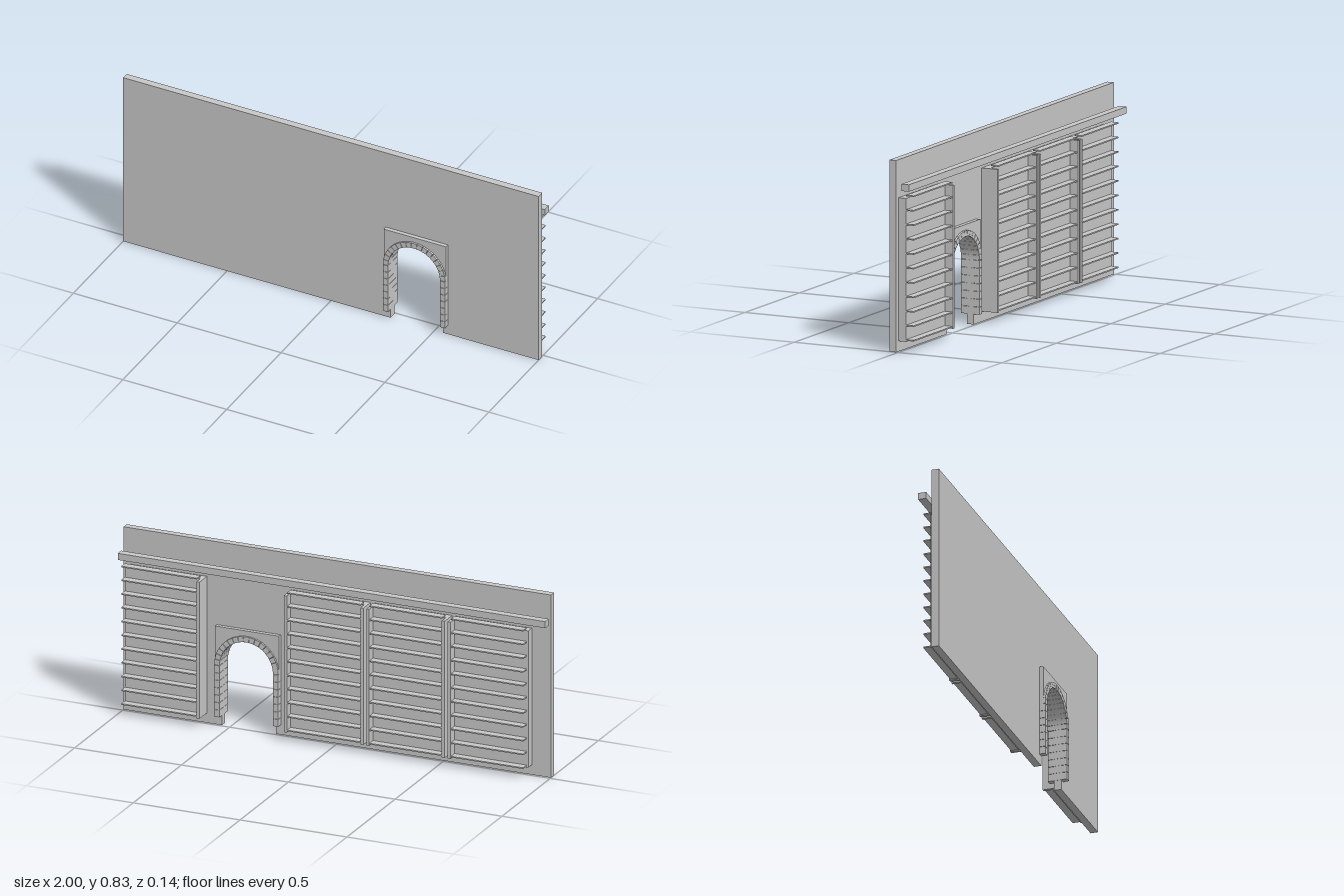
import * as THREE from 'three';

const stone = new THREE.MeshStandardMaterial({ color: 0xc8c8c8 });
stone.name = 'pale grey';

const DOOR_X = 0.414, SPRING = 0.281, R_IN = 0.125, R_OUT = 0.15;

function add(parent, name, geometry) {
  const mesh = new THREE.Mesh(geometry, stone);
  mesh.name = name;
  parent.add(mesh);
  return mesh;
}

// Box given by its limits on each axis
function box(parent, name, x0, x1, y0, y1, z0, z1) {
  const mesh = add(parent, name, new THREE.BoxGeometry(x1 - x0, y1 - y0, z1 - z0));
  mesh.position.set((x0 + x1) / 2, (y0 + y1) / 2, (z0 + z1) / 2);
  return mesh;
}

function slab(parent, name, shape, z0, z1) {
  const geometry = new THREE.ExtrudeGeometry(shape, { depth: z1 - z0, bevelEnabled: false, curveSegments: 32 });
  geometry.translate(0, 0, z0);
  return add(parent, name, geometry);
}

// Outline with a round-headed doorway cut from its bottom edge
function archedShape(x0, x1, y0, y1, radius) {
  const s = new THREE.Shape();
  s.moveTo(x0, y0);
  s.lineTo(DOOR_X - radius, y0);
  s.lineTo(DOOR_X - radius, SPRING);
  s.absarc(DOOR_X, SPRING, radius, Math.PI, 0, true);
  s.lineTo(DOOR_X + radius, y0);
  s.lineTo(x1, y0);
  s.lineTo(x1, y1);
  s.lineTo(x0, y1);
  s.closePath();
  return s;
}

function createDoorway() {
  const door = new THREE.Group();
  door.name = 'doorway';
  // Raised panel over the arch
  slab(door, 'spandrel', archedShape(DOOR_X - R_OUT, DOOR_X + R_OUT, SPRING - 0.005, 0.455, R_IN + 0.004), -0.01, 0.06);
  // Jamb blocks
  const rows = 7, base = 0.045, pitch = (SPRING - base) / rows;
  for (const side of [-1, 1]) {
    for (let i = 0; i < rows; i++) {
      const a = DOOR_X + side * R_IN, b = DOOR_X + side * R_OUT;
      const y = base + i * pitch;
      box(door, 'jambBlock', Math.min(a, b), Math.max(a, b), y, y + pitch - 0.0015, -0.019, 0.069);
    }
  }
  // Wedge stones round the arch
  const count = 17, step = Math.PI / count, gap = 0.006;
  for (let i = 0; i < count; i++) {
    const a = i * step + gap, b = (i + 1) * step - gap;
    const s = new THREE.Shape();
    s.absarc(DOOR_X, SPRING, R_OUT, a, b, false);
    s.absarc(DOOR_X, SPRING, R_IN, b, a, true);
    s.closePath();
    const geometry = new THREE.ExtrudeGeometry(s, { depth: 0.088, bevelEnabled: false, curveSegments: 2 });
    geometry.translate(0, 0, -0.019);
    add(door, 'archStone', geometry);
  }
  return door;
}

// Louvred bay on the back: backing, side posts and horizontal slats
function createBay(x0, x1, postLow, postHigh) {
  const bay = new THREE.Group();
  bay.name = 'louvreBay';
  const post = 0.014;
  box(bay, 'bayBacking', x0, x1, 0.045, 0.668, -0.028, 0.009);
  if (postLow) box(bay, 'bayPost', x0, x0 + post, 0.045, 0.668, -0.068, -0.028);
  if (postHigh) box(bay, 'bayPost', x1 - post, x1, 0.045, 0.668, -0.068, -0.028);
  for (let i = 0; i < 11; i++) {
    const y = 0.0525 + i * 0.0627;
    box(bay, 'slat', x0 + (postLow ? post : 0.008), x1 - (postHigh ? post : 0), y - 0.0028, y + 0.0028, -0.064, -0.028);
  }
  return bay;
}

export function createModel() {
  const model = new THREE.Group();
  model.name = 'louvredWall';
  slab(model, 'wall', archedShape(-1, 1, 0, 0.833, R_IN + 0.001), 0.009, 0.042);
  model.add(createDoorway());
  const bays = [
    [-0.91, -0.551, false, true],
    [-0.537, -0.17, true, true],
    [-0.156, 0.216, true, true],
    [0.61, 0.978, true, false],
  ];
  for (const bay of bays) model.add(createBay(...bay));
  // Long rail standing off the back
  box(model, 'rail', -1, 1, 0.703, 0.733, -0.052, -0.016);
  return model;
}
